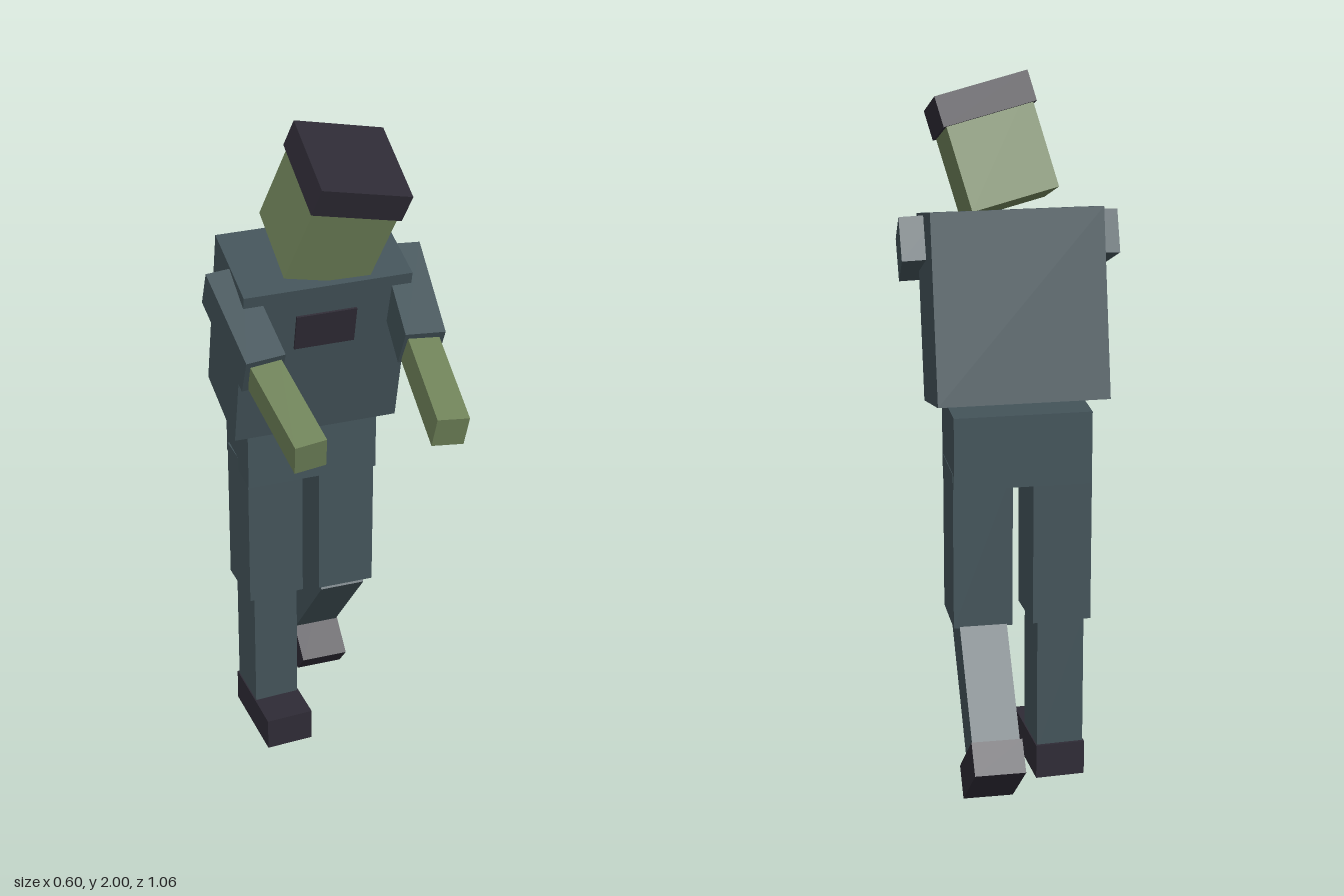
import * as THREE from 'three';

export function createModel() {
  const material = (name, color) => {
    const m = new THREE.MeshStandardMaterial({ color });
    m.name = name;
    return m;
  };
  const cloth = material('slate cloth', 0x435359);
  const skin = material('green skin', 0x6f8259);
  const dark = material('dark charcoal', 0x2e2b35);

  const model = new THREE.Group();
  model.name = 'shamblingFigure';

  // Adds a box of the given size, centre and rotation
  const box = (parent, name, mat, size, pos, rot = [0, 0, 0], order = 'XYZ') => {
    const mesh = new THREE.Mesh(new THREE.BoxGeometry(...size), mat);
    mesh.name = name;
    mesh.position.set(...pos);
    mesh.rotation.set(...rot, order);
    parent.add(mesh);
    return mesh;
  };

  // Torso leaning forward, with a dark chest patch
  const torso = new THREE.Group();
  torso.name = 'torso';
  torso.position.set(0, 1.366, -0.095);
  torso.rotation.x = 0.224;
  model.add(torso);
  box(torso, 'chest', cloth, [0.47, 0.518, 0.27], [0, 0, 0]);
  box(torso, 'chestPatch', dark, [0.17, 0.113, 0.008], [0, 0.112, 0.137]);

  // Hips
  box(model, 'hips', cloth, [0.38, 0.205, 0.215], [0, 1.002, -0.157]);

  // Head tilted forward and sideways, capped with dark hair
  const head = new THREE.Group();
  head.name = 'head';
  head.position.set(0.0775, 1.928, 0.057);
  head.rotation.set(0.324, -0.025, -0.244);
  model.add(head);
  box(head, 'face', skin, [0.243, 0.28, 0.25], [0, -0.18, 0]);
  box(head, 'hair', dark, [0.26, 0.085, 0.268], [0, -0.0425, 0]);

  // Arms reaching forward
  for (const [side, s] of [['left', 1], ['right', -1]]) {
    box(model, side + 'UpperArm', cloth, [0.11, 0.122, 0.307],
      [s * 0.233, 1.492, 0.076], [0.427, -s * 0.095, -s * 0.05], 'YXZ');
    box(model, side + 'Forearm', skin, [0.087, 0.093, 0.32],
      [s * 0.203, 1.385, 0.362], [0.25, -s * 0.09, -s * 0.08], 'YXZ');
  }

  // Right leg, standing and turned slightly inward
  const rightLeg = new THREE.Group();
  rightLeg.name = 'rightLeg';
  rightLeg.position.set(-0.108, 0, -0.16);
  rightLeg.rotation.y = 0.06;
  model.add(rightLeg);
  box(rightLeg, 'rightThigh', cloth, [0.165, 0.45, 0.17], [0, 0.715, 0]);
  box(rightLeg, 'rightShin', cloth, [0.133, 0.41, 0.147], [0, 0.295, 0.002]);
  box(rightLeg, 'rightShoe', dark, [0.14, 0.1, 0.266], [0, 0.06, 0.053]);

  // Left leg, bent back at the knee
  const leftLeg = new THREE.Group();
  leftLeg.name = 'leftLeg';
  leftLeg.position.x = 0.109;
  model.add(leftLeg);
  box(leftLeg, 'leftThigh', cloth, [0.165, 0.45, 0.178], [0, 0.715, -0.16]);
  box(leftLeg, 'leftShin', cloth, [0.132, 0.41, 0.138], [0, 0.346, -0.28], [0.68, 0, 0]);
  box(leftLeg, 'leftShoe', dark, [0.14, 0.094, 0.27], [0, 0.127, -0.397], [0.69, 0, 0]);

  return model;
}
